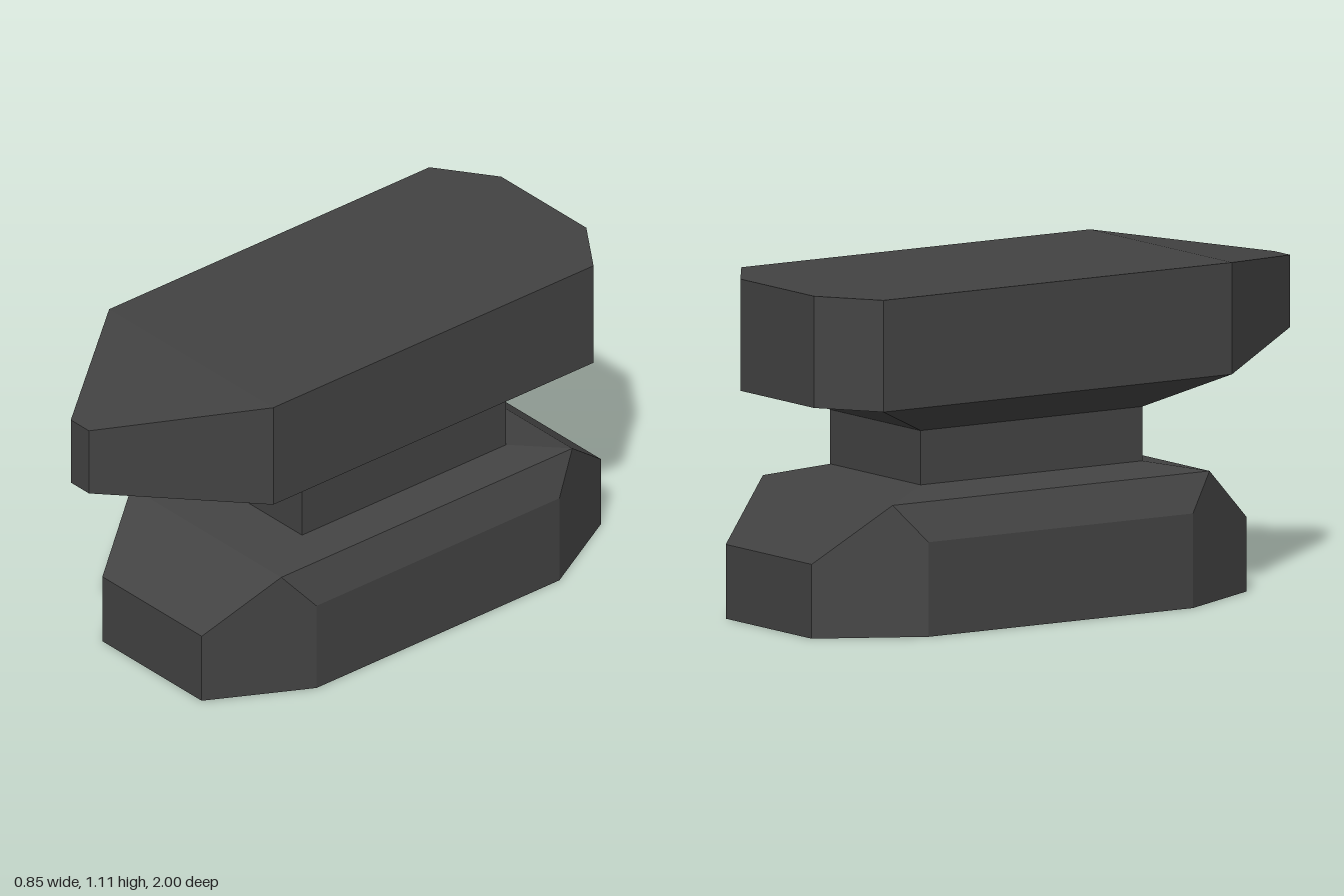
import * as THREE from 'three';
import { ConvexGeometry } from 'three/addons/geometries/ConvexGeometry.js';

// Mirror [x, y, z] points across x = 0
const mirrored = (pts) => pts.flatMap(([x, y, z]) =>
  [new THREE.Vector3(x, y, z), new THREE.Vector3(-x, y, z)]);

// Open, flat-shaded walls through rectangular rings given as [halfWidth, y, zFront, zBack]
function rectLoft(rings) {
  const pos = [];
  const corners = rings.map(([w, y, f, b]) => [[-w, y, f], [w, y, f], [w, y, b], [-w, y, b]]);
  for (let i = 0; i < rings.length - 1; i++) {
    for (let k = 0; k < 4; k++) {
      const n = (k + 1) % 4;
      const a = corners[i][k], b = corners[i][n], c = corners[i + 1][n], d = corners[i + 1][k];
      pos.push(...a, ...b, ...c, ...a, ...c, ...d);
    }
  }
  const geo = new THREE.BufferGeometry();
  geo.setAttribute('position', new THREE.Float32BufferAttribute(pos, 3));
  geo.computeVertexNormals();
  return geo;
}

export function createModel() {
  const iron = new THREE.MeshStandardMaterial({ color: 0x424242 });
  iron.name = 'darkIron';
  const group = new THREE.Group();
  group.name = 'anvil';
  const add = (name, geo) => {
    const mesh = new THREE.Mesh(geo, iron);
    mesh.name = name;
    group.add(mesh);
  };

  // Foot: octagonal slab with bevelled top, symmetric about z = -0.15
  const mid = -0.153;
  const foot = [];
  for (const s of [1, -1]) {
    foot.push(
      [0.245, 0, mid + s * 0.847], [0.245, 0.242, mid + s * 0.847],
      [0.425, 0, mid + s * 0.515], [0.425, 0.308, mid + s * 0.515],
      [0.37, 0.43, mid + s * 0.617],
      [0.258, 0.465, mid + s * 0.432],
    );
  }
  add('foot', new ConvexGeometry(mirrored(foot)));

  // Waist rising into the flare under the body
  add('waist', rectLoft([
    [0.258, 0.465, 0.28, -0.585],
    [0.258, 0.642, 0.28, -0.585],
    [0.405, 0.744, 0.528, -0.83],
  ]));

  // Body with tapered horn at the front and chamfered heel at the back
  const body = [];
  for (const [y, hornY] of [[0.744, 0.807], [1.108, 1.042]]) {
    body.push([0.045, hornY, 1], [0.405, y, 0.528], [0.405, y, -0.83], [0.21, y, -0.967]);
  }
  add('bodyAndHorn', new ConvexGeometry(mirrored(body)));

  return group;
}
